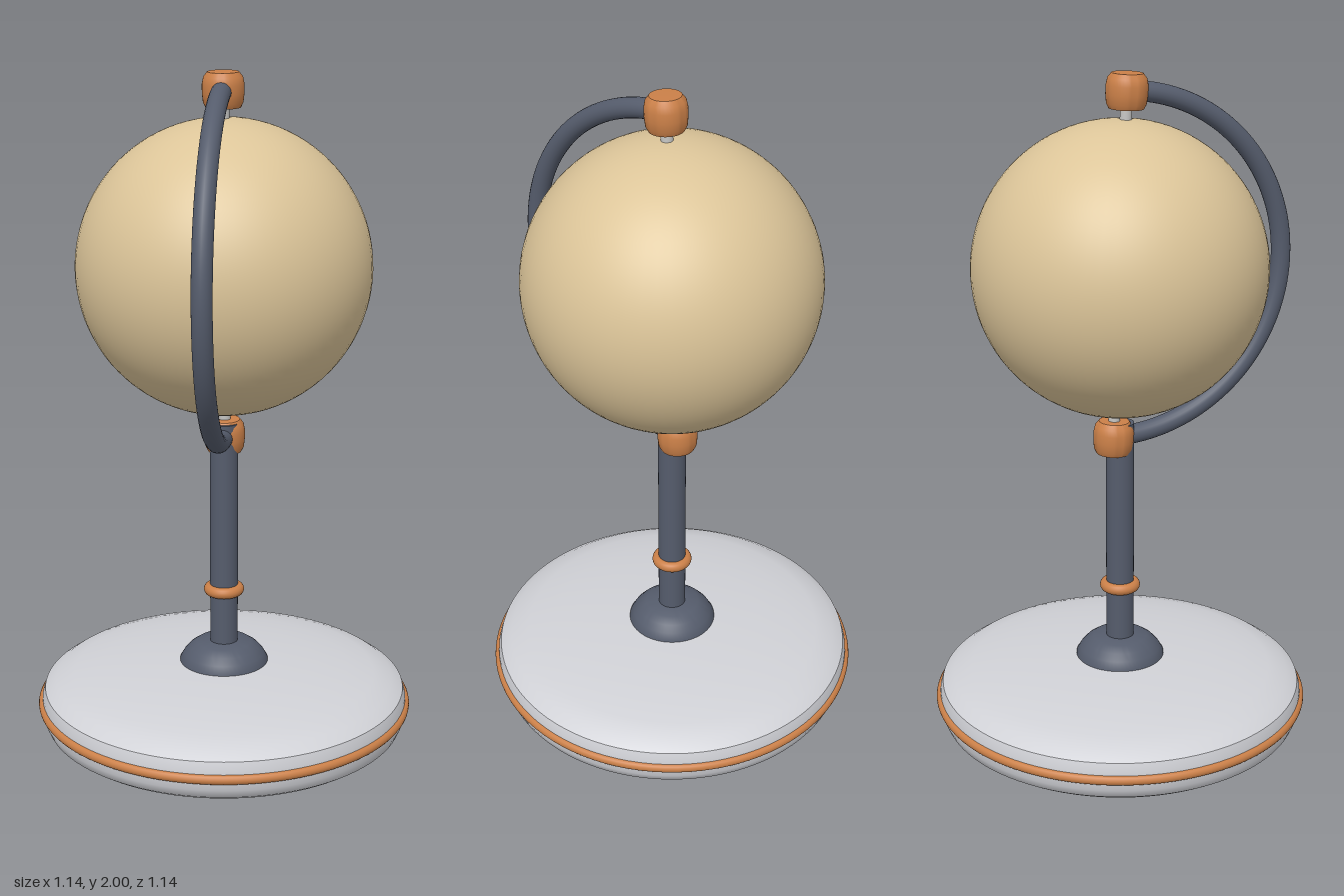
import * as THREE from 'three';
import { toCreasedNormals } from 'three/addons/utils/BufferGeometryUtils.js';

const mat = (name, color) => {
  const m = new THREE.MeshStandardMaterial({ color });
  m.name = name;
  return m;
};

export function createModel() {
  const white = mat('pale grey', 0xd0d1d6);
  const copper = mat('copper', 0xcb8048);
  const slate = mat('slate', 0x555c6c);
  const sand = mat('sand', 0xdcc599);
  const steel = mat('steel', 0xc6c6c4);

  const model = new THREE.Group();
  model.name = 'globeOnStand';
  const add = (parent, name, geometry, material, x = 0, y = 0, z = 0) => {
    const mesh = new THREE.Mesh(geometry, material);
    mesh.name = name;
    mesh.position.set(x, y, z);
    parent.add(mesh);
    return mesh;
  };
  // Turned part from [radius, height] pairs, listed bottom to top
  const turned = (pairs, segments = 64, crease = 0.6) => toCreasedNormals(
    new THREE.LatheGeometry(pairs.map(([r, y]) => new THREE.Vector2(r, y)), segments), crease);
  const ring = (radius, tube) => new THREE.TorusGeometry(radius, tube, 16, 96).rotateX(Math.PI / 2);

  // Base with domed top and flat underside
  add(model, 'base', turned([
    [0, 0.02], [0.525, 0.02], [0.545, 0.034], [0.556, 0.06], [0.559, 0.09], [0.557, 0.12],
    [0.549, 0.145], [0.515, 0.169], [0.46, 0.184], [0.38, 0.198], [0.28, 0.209], [0.16, 0.217], [0, 0.22],
  ], 96), white);
  add(model, 'baseTrim', ring(0.555, 0.015), copper, 0, 0.095, 0);

  // Eight small feet
  for (let i = 0; i < 8; i++) {
    const a = (i + 0.5) * Math.PI / 4;
    add(model, 'foot', new THREE.CylinderGeometry(0.019, 0.017, 0.025, 16), steel,
      0.44 * Math.cos(a), 0.0125, 0.44 * Math.sin(a));
  }

  // Pole with flange and collar
  add(model, 'flange', turned([
    [0.135, 0.205], [0.134, 0.222], [0.122, 0.243], [0.105, 0.262], [0.082, 0.278], [0.04, 0.282],
  ]), slate);
  add(model, 'pole', new THREE.CylinderGeometry(0.042, 0.042, 0.745, 32), slate, 0, 0.6, 0);
  add(model, 'collar', ring(0.044, 0.017), copper, 0, 0.448, 0);

  // Tilted assembly: local +x points towards the arm
  const tilted = new THREE.Group();
  tilted.name = 'tiltedGlobe';
  tilted.position.y = 1.44;
  tilted.rotation.set(0, Math.atan2(-0.57, -0.82), -0.04);
  model.add(tilted);

  add(tilted, 'globe', new THREE.SphereGeometry(0.43, 64, 48), sand);
  add(tilted, 'axle', new THREE.CylinderGeometry(0.017, 0.017, 1.0, 20), steel);
  add(tilted, 'arm', new THREE.TorusGeometry(0.51, 0.029, 20, 80, Math.PI).rotateZ(-Math.PI / 2), slate);

  // Barrel caps at both ends of the axle
  const cap = turned([
    [0, -0.05], [0.05, -0.05], [0.057, -0.036], [0.06, -0.01], [0.06, 0.015],
    [0.056, 0.035], [0.045, 0.049], [0, 0.05],
  ], 40, 0.8);
  add(tilted, 'topCap', cap, copper, 0, 0.51, 0);
  add(tilted, 'bottomCap', cap, copper, 0, -0.51, 0);

  return model;
}
